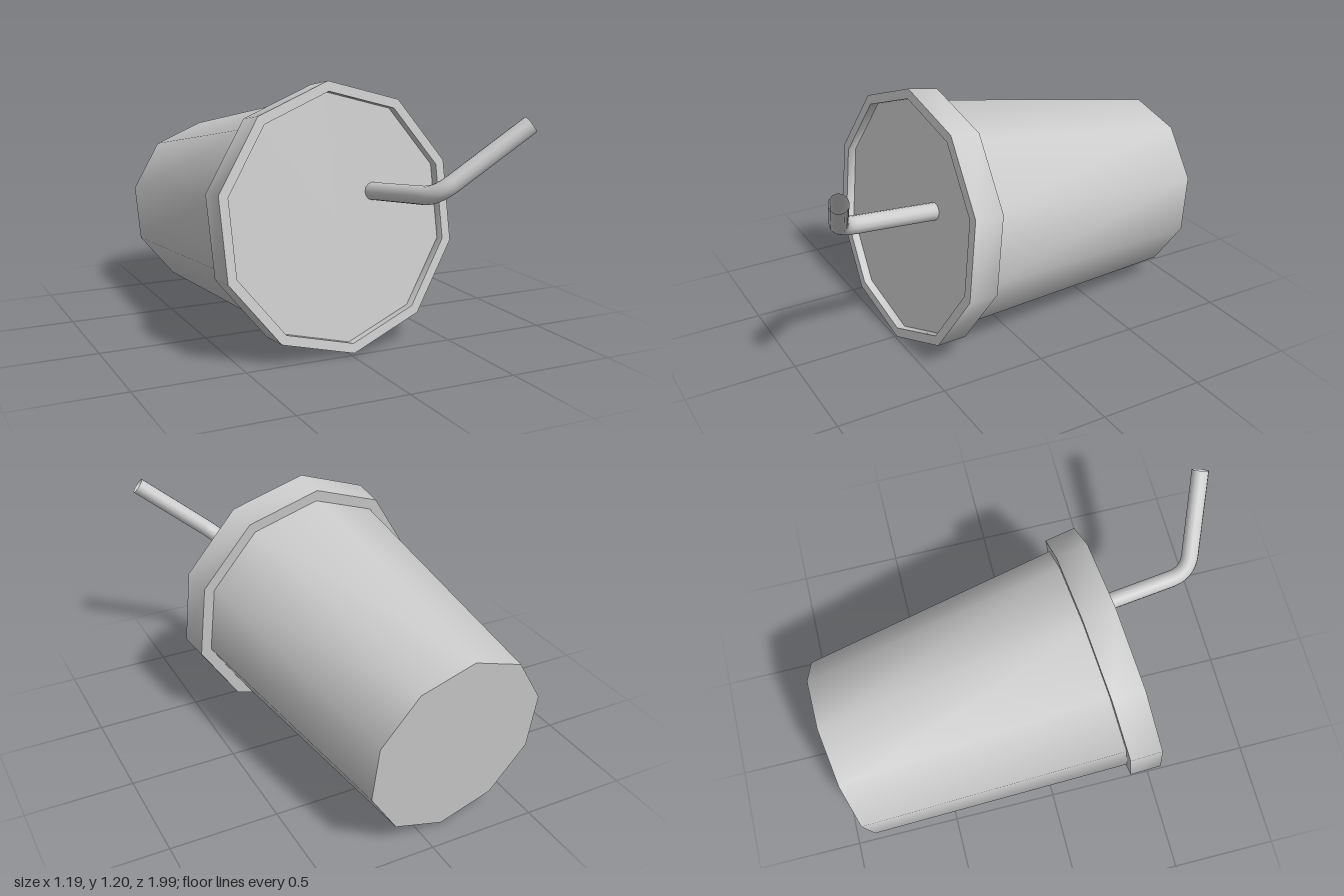
import * as THREE from 'three';
import { toCreasedNormals } from 'three/addons/utils/BufferGeometryUtils.js';

const SIDES = 10;

export function createModel() {
  const model = new THREE.Group();
  model.name = 'tiltedCup';
  const material = new THREE.MeshStandardMaterial({ color: 0xcccccc, side: THREE.DoubleSide });

  // Ten-sided turned part: smooth around, sharp at profile corners
  const turned = (name, profile) => {
    const points = profile.map(([r, y]) => new THREE.Vector2(r, y));
    const geometry = toCreasedNormals(new THREE.LatheGeometry(points, SIDES), 0.8);
    const mesh = new THREE.Mesh(geometry, material);
    mesh.name = name;
    return mesh;
  };

  // The cup lies on its side; local y is its axis, with y = 0 at the lid's front
  const axis = new THREE.Vector3(0.082, 0.117, 0.99).normalize();
  const up = new THREE.Vector3(-0.035, 0.595, -0.07);
  up.addScaledVector(axis, -up.dot(axis)).normalize();
  const side = new THREE.Vector3().crossVectors(axis, up);
  const cup = new THREE.Group();
  cup.name = 'cup';
  cup.quaternion.setFromRotationMatrix(new THREE.Matrix4().makeBasis(side, axis, up));
  cup.position.set(-0.02, 0.6, 0.43);

  // Tapered body with closed base
  cup.add(turned('cupBody', [[0, -1.383], [0.432, -1.383], [0.541, -0.1]]));
  // Lid with raised rim and recessed top
  cup.add(turned('lid', [
    [0.53, -0.148], [0.59, -0.148], [0.6, 0], [0.555, 0], [0.555, -0.04], [0, -0.04],
  ]));
  model.add(cup);

  // Bent straw, open at the tip
  const elbow = new THREE.Vector3(0.207, 0.752, 0.825);
  const tip = new THREE.Vector3(0.567, 1.042, 0.955);
  const start = elbow.clone().addScaledVector(axis, -0.53);
  const bendIn = elbow.clone().addScaledVector(axis, -0.085);
  const bendOut = elbow.clone().lerp(tip, 0.18);
  const path = new THREE.CurvePath();
  path.add(new THREE.LineCurve3(start, bendIn));
  path.add(new THREE.QuadraticBezierCurve3(bendIn, elbow, bendOut));
  path.add(new THREE.LineCurve3(bendOut, tip));
  const straw = new THREE.Mesh(new THREE.TubeGeometry(path, 48, 0.04, 12, false), material);
  straw.name = 'straw';
  model.add(straw);

  return model;
}
